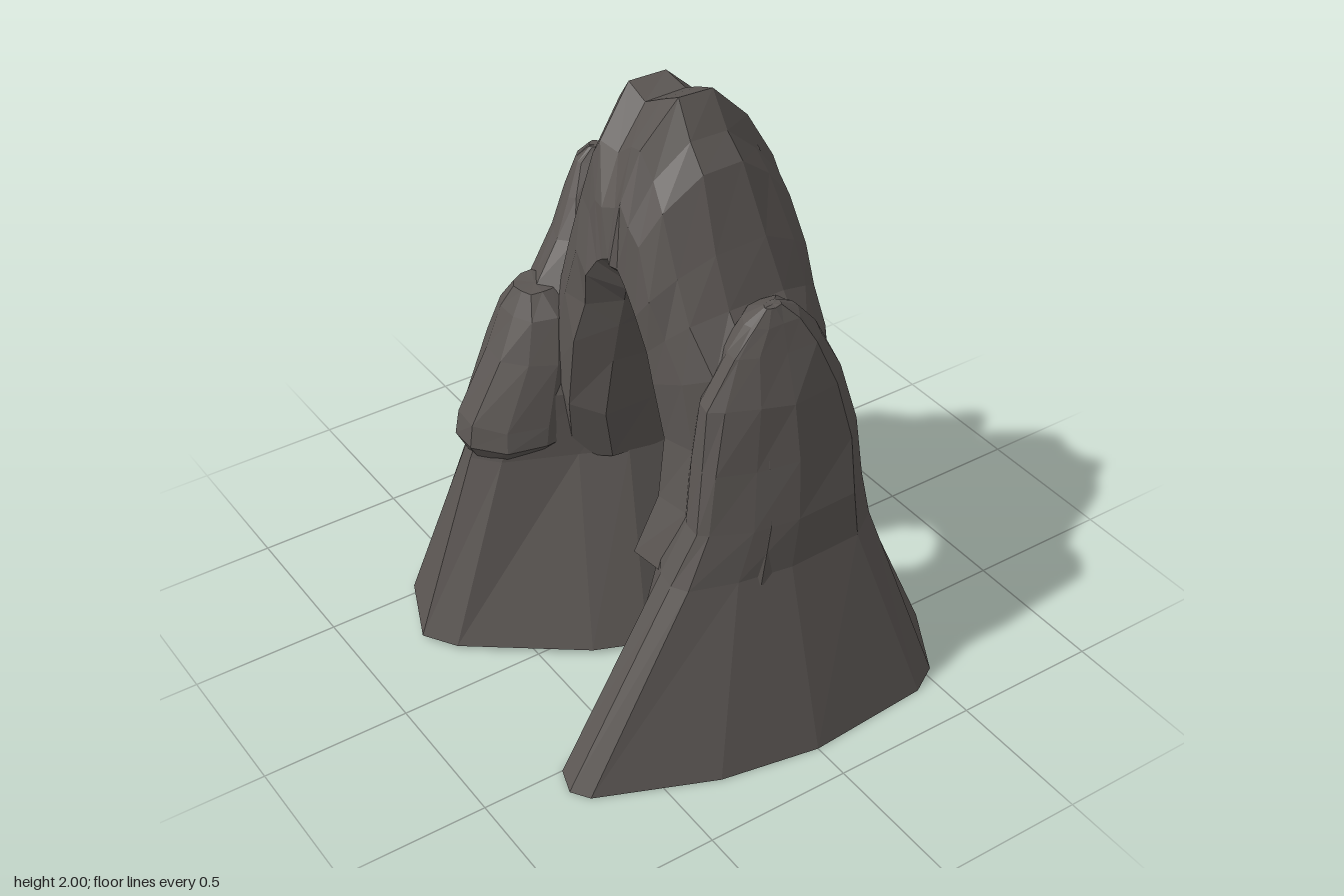
import * as THREE from 'three';

const rock = new THREE.MeshStandardMaterial({ color: 0x5b5653, flatShading: true, side: THREE.DoubleSide });
rock.name = 'dark rock';

let seed = 7;
const jitter = (amount) => {
  seed = (seed * 16807) % 2147483647;
  return (seed / 2147483647 - 0.5) * 2 * amount;
};

// Skin a list of equal-length rings of [x, y, z]; optionally close the last ring
function loft(name, rings, cap) {
  const n = rings[0].length;
  const index = [];
  const points = rings.flat();
  for (let r = 0; r < rings.length - 1; r++) {
    for (let i = 0; i < n; i++) {
      const a = r * n + i, b = r * n + (i + 1) % n;
      index.push(a, a + n, b, a + n, b + n, b);
    }
  }
  if (cap) {
    const last = rings[rings.length - 1];
    const start = (rings.length - 1) * n;
    points.push([0, 1, 2].map((k) => last.reduce((s, p) => s + p[k], 0) / n));
    for (let i = 0; i < n; i++) index.push(start + i, points.length - 1, start + (i + 1) % n);
  }
  const geometry = new THREE.BufferGeometry();
  geometry.setAttribute('position', new THREE.Float32BufferAttribute(points.flat(), 3));
  geometry.setIndex(index);
  geometry.computeVertexNormals();
  const mesh = new THREE.Mesh(geometry, rock);
  mesh.name = name;
  return mesh;
}

// Fit a unit outline (-1..1) into a level [y, xMin, xMax, zMin, zMax], roughened by its size
function levelRing(unit, [y, x0, x1, z0, z1]) {
  const rough = Math.min(0.01, (x1 - x0) * 0.035);
  return unit.map(([u, w]) => [
    (x0 + x1) / 2 + u * (x1 - x0) / 2 + jitter(rough),
    y + jitter(rough),
    (z0 + z1) / 2 + w * (z1 - z0) / 2 + jitter(rough),
  ]);
}

// Rough oval shoulder
function peak(name, levels, sides = 11) {
  const unit = Array.from({ length: sides }, (_, i) => {
    const a = (i / sides) * Math.PI * 2;
    return [Math.cos(a), Math.sin(a)];
  });
  return loft(name, levels.map((level) => levelRing(unit, level)), true);
}

// Flared open foot that continues above its collar into a peak
function footing(name, y0, base, y1, collar, levels) {
  const range = (k) => {
    const values = collar.map((p) => p[k]);
    const lo = Math.min(...values), hi = Math.max(...values);
    return [(lo + hi) / 2, (hi - lo) / 2];
  };
  const [cx, hx] = range(0), [cz, hz] = range(1);
  const unit = collar.map(([x, z]) => [(x - cx) / hx, (z - cz) / hz]);
  return loft(name, [
    base.map(([x, z]) => [x, y0, z]),
    collar.map(([x, z]) => [x, y1, z]),
    ...levels.map((level) => levelRing(unit, level)),
  ], true);
}

export function createModel() {
  const group = new THREE.Group();
  group.name = 'rockArch';

  // Front and back footings
  group.add(footing('frontFooting', 0,
    [[.66, .55], [.53, .78], [.43, .84], [0, .87], [-.33, .81], [-.71, .65], [-.75, .59],
      [-.72, .5], [-.42, .36], [-.1, .2], [.15, .08], [.42, .16], [.58, .25], [.65, .33]],
    0.63,
    [[.39, .52], [.36, .62], [.26, .69], [0, .7], [-.18, .67], [-.33, .62], [-.36, .57],
      [-.35, .5], [-.28, .4], [-.1, .3], [.12, .27], [.28, .3], [.36, .36], [.39, .43]],
    [[.8, -.28, .35, .3, .695], [1.0, -.235, .335, .29, .665], [1.2, -.2, .28, .33, .635],
      [1.35, -.13, .2, .38, .605], [1.44, -.06, .12, .43, .575], [1.49, -.01, .05, .51, .55]]));
  group.add(footing('backFooting', 0.015,
    [[.77, -.06], [.71, .06], [.52, .14], [.3, .16], [-.18, .17], [-.35, .1], [-.71, -.17], [-.78, -.28],
      [-.68, -.52], [-.62, -.58], [-.21, -.84], [.13, -.87], [.34, -.82], [.64, -.66], [.77, -.44]],
    0.65,
    [[.52, -.14], [.47, -.1], [.35, -.06], [.2, -.04], [-.1, -.05], [-.25, -.12], [-.48, -.22], [-.55, -.3],
      [-.5, -.4], [-.44, -.47], [-.18, -.64], [.1, -.67], [.26, -.63], [.46, -.48], [.54, -.3]],
    [[.88, -.48, .53, -.605, -.05], [1.08, -.36, .45, -.595, -.1], [1.2, -.26, .36, -.585, -.14],
      [1.32, -.17, .26, -.565, -.2], [1.43, -.1, .17, -.54, -.3], [1.52, -.04, .1, -.5, -.38], [1.56, .01, .06, -.46, -.41]]));

  // Arch: stations of [inner z, inner y, outer z, outer y, xMin, xMax, crest taper]
  const stations = [
    [.27, .60, .69, .60, -.35, .39, .1], [.30, .80, .68, .80, -.27, .35, .1], [.28, 1.0, .64, 1.02, -.24, .34, .1],
    [.26, 1.17, .56, 1.29, -.25, .34, .1], [.245, 1.25, .43, 1.44, -.26, .345, .1],
    [.22, 1.33, .365, 1.6, -.27, .34, .2], [.17, 1.395, .27, 1.82, -.275, .335, .35],
    [.145, 1.41, .2, 1.89, -.275, .33, .4], [.13, 1.41, .13, 2.0, -.275, .33, .5], [.115, 1.41, .05, 1.965, -.275, .33, .45],
    [.10, 1.4, -.03, 1.92, -.275, .34, .4], [.08, 1.36, -.12, 1.945, -.28, .34, .4], [.06, 1.31, -.16, 1.88, -.28, .34, .35],
    [.03, 1.2, -.23, 1.68, -.28, .34, .2], [0, 1.05, -.3, 1.5, -.29, .36, .1], [-.02, .85, -.45, 1.0, -.3, .38, .1],
    [-.04, .64, -.55, .64, -.25, .35, .1],
  ];
  // Cross-section: u across the arch, v from the inside to the crest
  const section = [[.2, 0], [.75, .1], [1, .27], [.93, .5], [.7, .78], [.34, 1],
    [-.4, 1], [-.74, .78], [-.91, .5], [-1, .2], [-.7, .02], [-.2, 0]];
  group.add(loft('arch', stations.map(([zi, yi, zo, yo, x0, x1, taper]) => section.map(([u, v]) => {
    const rough = v > 0 && v < 1 ? 0.01 : 0.004;
    return [
      (x0 + x1) / 2 + u * (1 - taper * v ** 4) * (x1 - x0) / 2 + jitter(rough),
      yi + (yo - yi) * v + jitter(rough),
      zi + (zo - zi) * v + jitter(rough),
    ];
  })), false));

  // Shoulders leaning on the back leg
  group.add(peak('leftShoulder', [
    [.655, .25, .51, -.3, -.06], [.73, .05, .545, -.47, -.03], [.9, .02, .545, -.47, -.015],
    [1.05, .1, .5, -.46, -.05], [1.2, .2, .455, -.45, -.11], [1.36, .28, .42, -.38, -.2], [1.45, .35, .39, -.33, -.28],
  ]));
  group.add(peak('rightShoulder', [
    [.64, -.53, -.1, -.43, -.2], [.71, -.565, -.05, -.5, -.15], [.78, -.55, -.05, -.5, -.15],
    [1.0, -.44, -.08, -.5, -.17], [1.13, -.375, -.1, -.47, -.2], [1.2, -.33, -.2, -.41, -.27],
  ]));
  // Small knob beside the crest
  group.add(peak('crestKnob', [
    [1.66, .08, .28, 0, .22], [1.77, .1, .25, .03, .2], [1.85, .14, .2, .07, .16],
  ], 8));

  return group;
}
